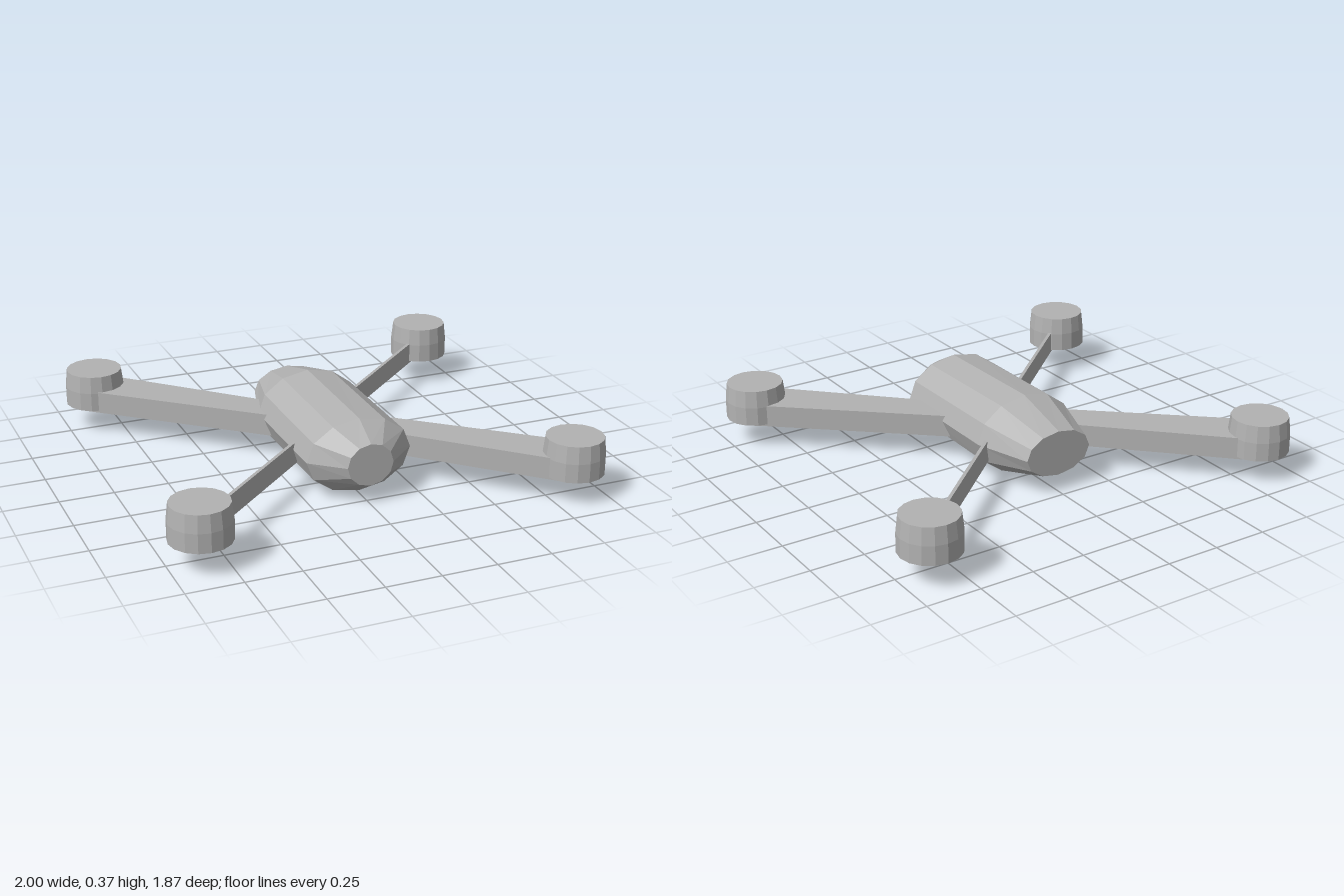
import * as THREE from 'three';

const grey = new THREE.MeshStandardMaterial({ color: 0xb2b2b2, flatShading: true });
grey.name = 'grey';

function addMesh(parent, name, geometry) {
  const mesh = new THREE.Mesh(geometry, grey);
  mesh.name = name;
  parent.add(mesh);
  return mesh;
}

// Faceted fuselage lofted along z; stations are [z, halfWidth, halfHeight, centreY]
function bodyGeometry() {
  const sides = 12;
  const stations = [
    [-0.46, 0.165, 0.105, 0.185],
    [-0.19, 0.247, 0.183, 0.183],
    [0.41, 0.247, 0.173, 0.183],
    [0.54, 0.108, 0.098, 0.187],
  ];
  const positions = [];
  const index = [];
  for (const [z, rx, ry, cy] of stations) {
    for (let i = 0; i < sides; i++) {
      const a = (i / sides) * Math.PI * 2;
      positions.push(Math.cos(a) * rx, cy + Math.sin(a) * ry, z);
    }
  }
  for (let s = 0; s < stations.length - 1; s++) {
    for (let i = 0; i < sides; i++) {
      const a = s * sides + i;
      const b = s * sides + ((i + 1) % sides);
      index.push(a, b, b + sides, a, b + sides, a + sides);
    }
  }
  // Flat end caps
  const last = (stations.length - 1) * sides;
  for (let i = 1; i < sides - 1; i++) {
    index.push(0, i + 1, i, last, last + i, last + i + 1);
  }
  const geo = new THREE.BufferGeometry();
  geo.setAttribute('position', new THREE.Float32BufferAttribute(positions, 3));
  geo.setIndex(index);
  geo.computeVertexNormals();
  return geo;
}

// Upright slab from a plan outline of [x, z] points
function slabGeometry(points, bottom, top) {
  const shape = new THREE.Shape(points.map(([x, z]) => new THREE.Vector2(x, -z)));
  const geo = new THREE.ExtrudeGeometry(shape, { depth: top - bottom, bevelEnabled: false });
  geo.rotateX(-Math.PI / 2);
  geo.translate(0, bottom, 0);
  return geo;
}

export function createModel() {
  const model = new THREE.Group();
  model.name = 'quadcopter';

  addMesh(model, 'body', bodyGeometry());

  // Broad arms widen outwards along one diagonal, blade-thin arms along the other
  const broad = [[0.15, 0.03], [0.15, 0.245], [0.787, 0.875], [0.95, 0.722]];
  const thin = [[0.15, -0.166], [0.16, -0.154], [0.882, -0.803], [0.872, -0.815]];
  for (const side of [1, -1]) {
    const end = side > 0 ? 'Left' : 'Right';
    const turn = ([x, z]) => [x * side, z * side];
    addMesh(model, 'broadArm' + end, slabGeometry(broad.map(turn), 0.108, 0.21));
    addMesh(model, 'thinArm' + end, slabGeometry(thin.map(turn), 0.108, 0.21));
  }

  // Motor pods: straight skirt, slightly tapered top
  const profile = [[0, 0.118], [0.139, 0.118], [0.139, 0.205], [0.13, 0.284], [0, 0.284]]
    .map(([r, y]) => new THREE.Vector2(r, y));
  const podGeometry = new THREE.LatheGeometry(profile, 16);
  for (const x of [0.86, -0.86]) {
    for (const z of [0.79, -0.797]) {
      const name = (z > 0 ? 'front' : 'rear') + (x > 0 ? 'Left' : 'Right') + 'Pod';
      addMesh(model, name, podGeometry).position.set(x, 0, z);
    }
  }
  return model;
}
